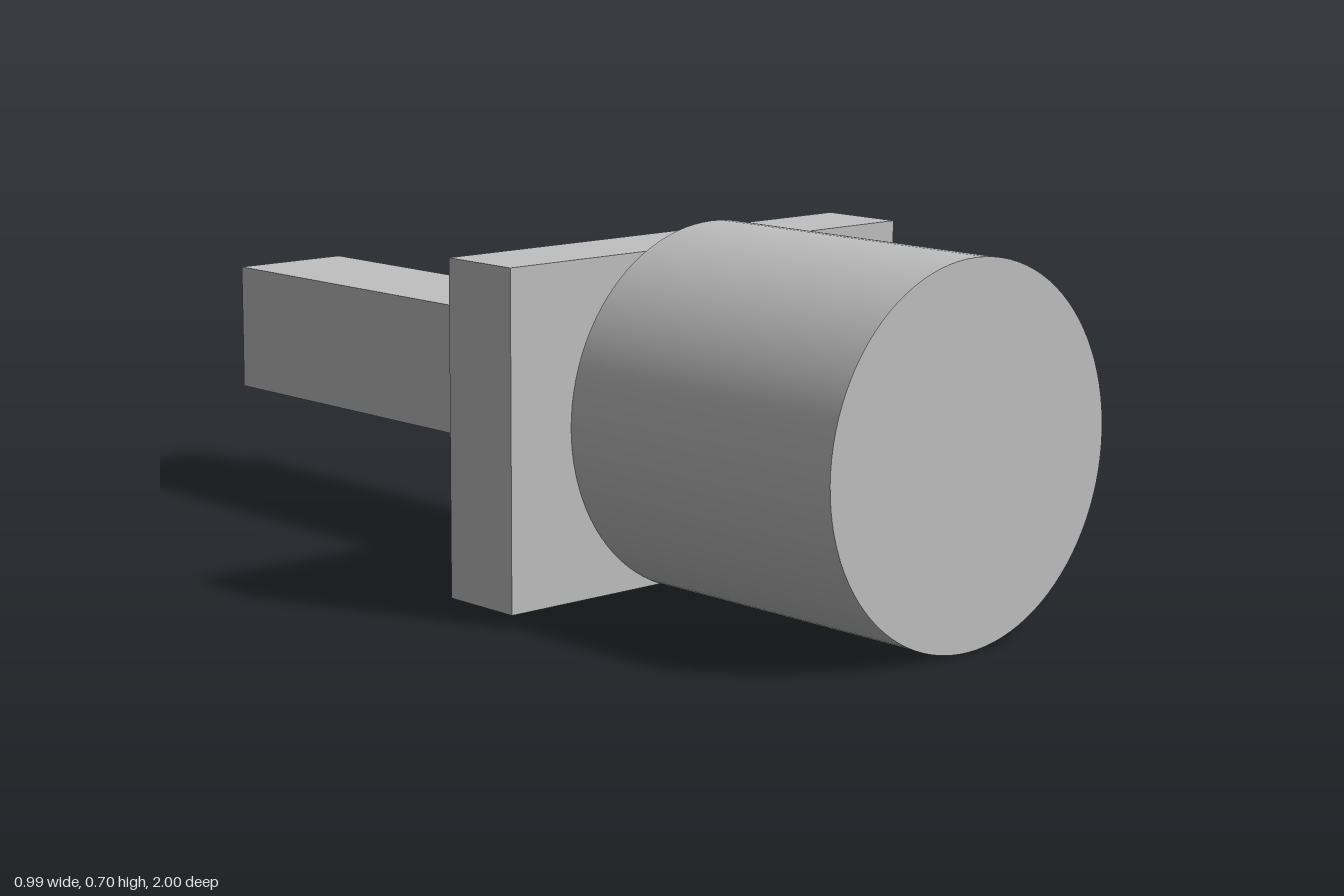
import * as THREE from 'three';

export function createModel() {
  const group = new THREE.Group();
  const grey = new THREE.MeshStandardMaterial({ color: 0xc0c0c0 });
  grey.name = 'plain grey';

  const add = (name, geometry, x, y, z) => {
    const mesh = new THREE.Mesh(geometry, grey);
    mesh.name = name;
    mesh.position.set(x, y, z);
    group.add(mesh);
  };

  // Round head at the front, lying along z
  const radius = 0.352;
  const head = new THREE.CylinderGeometry(radius, radius, 0.66, 96).rotateX(Math.PI / 2);
  add('head', head, 0, radius, 0.67);

  // Rectangular flange behind the head
  add('flange', new THREE.BoxGeometry(0.99, 0.637, 0.174), 0, 0.343, 0.253);

  // Square shank reaching to the back
  add('shank', new THREE.BoxGeometry(0.262, 0.262, 1.166), 0, 0.353, -0.417);

  return group;
}
